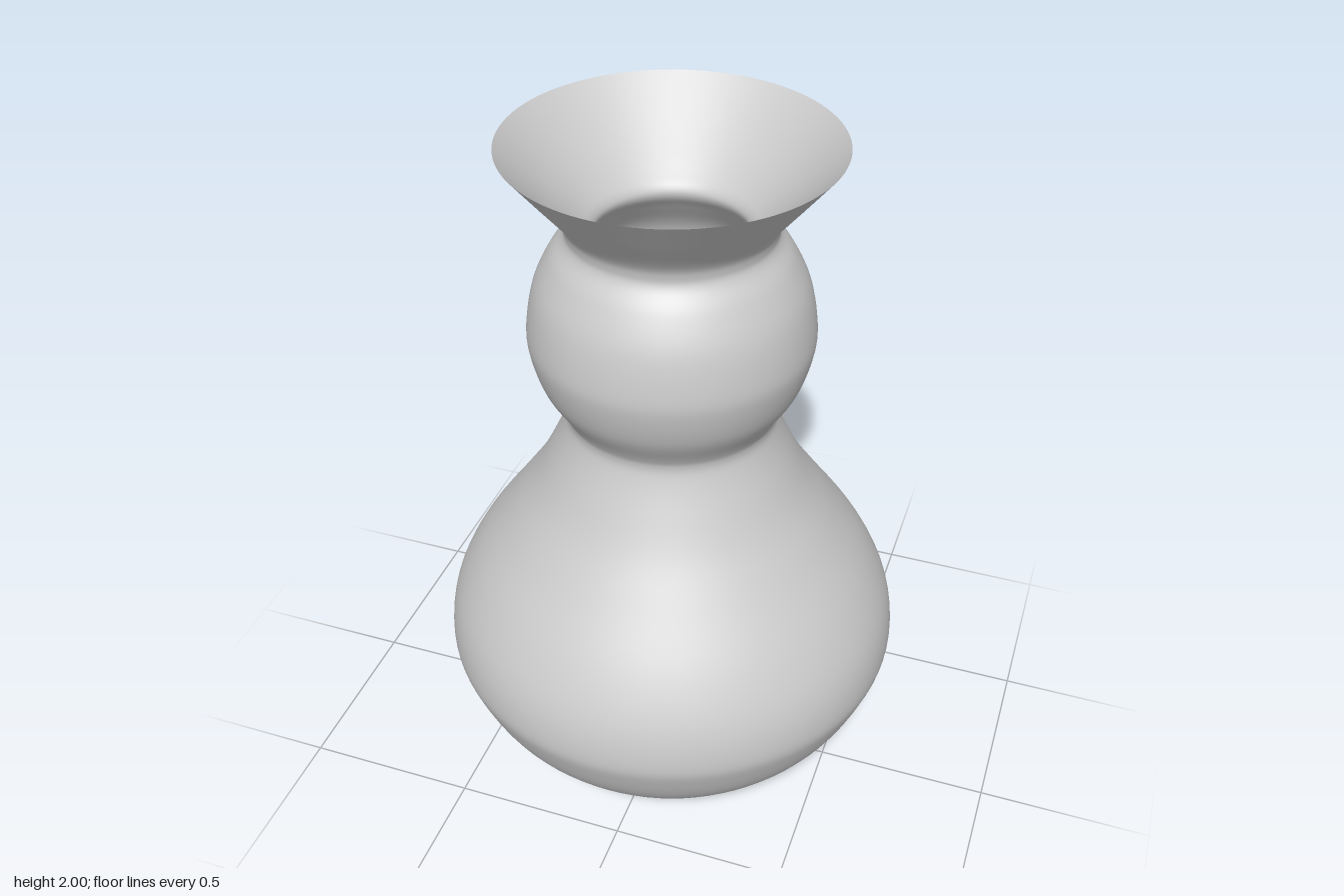
import * as THREE from 'three';

const SIDES = 96;
const material = new THREE.MeshStandardMaterial({ color: 0xcccccc });

const toPoints = (pairs) => pairs.map(([r, y]) => new THREE.Vector2(r, y));

// Smooth profile through a few radius/height pairs.
const smooth = (pairs, steps) => new THREE.SplineCurve(toPoints(pairs)).getPoints(steps);

// Turned part: a profile that rises faces outward, one that falls faces inward.
function turned(name, points) {
  const mesh = new THREE.Mesh(new THREE.LatheGeometry(points, SIDES), material);
  mesh.name = name;
  return mesh;
}

function disc(name, radius, y, up) {
  const mesh = new THREE.Mesh(new THREE.CircleGeometry(radius, SIDES), material);
  mesh.name = name;
  mesh.rotation.x = up ? -Math.PI / 2 : Math.PI / 2;
  mesh.position.y = y;
  return mesh;
}

export function createModel() {
  const vase = new THREE.Group();
  vase.name = 'vase';

  // Outer skin: wide belly, waist, round bulb, neck and flared mouth
  vase.add(turned('outerBody', smooth([
    [0.2, 0.048], [0.27, 0.055], [0.37, 0.09], [0.465, 0.148], [0.58, 0.28],
    [0.64, 0.405], [0.656, 0.485], [0.635, 0.6], [0.57, 0.73], [0.465, 0.88],
    [0.387, 0.995], [0.33, 1.106], [0.297, 1.185], [0.29, 1.225], [0.303, 1.26],
    [0.35, 1.34], [0.377, 1.43], [0.381, 1.5], [0.36, 1.61], [0.317, 1.7],
    [0.28, 1.75], [0.274, 1.78], [0.29, 1.82], [0.36, 1.907], [0.435, 2],
  ], 120)));

  // Inner skin from the thin lip down to the well in the foot
  vase.add(turned('innerWall', smooth([
    [0.435, 2], [0.33, 1.895], [0.24, 1.81], [0.205, 1.775], [0.202, 1.745],
    [0.235, 1.7], [0.295, 1.61], [0.316, 1.5], [0.31, 1.43], [0.285, 1.36],
    [0.24, 1.28], [0.226, 1.225], [0.235, 1.17], [0.27, 1.08], [0.33, 0.965],
    [0.41, 0.845], [0.515, 0.695], [0.572, 0.58], [0.591, 0.485], [0.575, 0.41],
    [0.52, 0.31], [0.42, 0.2], [0.33, 0.145], [0.25, 0.12], [0.2, 0.11],
    [0.165, 0.095], [0.145, 0.06],
  ], 120)));
  vase.add(disc('innerFloor', 0.145, 0.06, true));

  // Small foot with a softened lower edge
  vase.add(turned('footRing', toPoints([
    [0.188, 0], [0.193, 0.002], [0.198, 0.007], [0.2, 0.013], [0.2, 0.048],
  ])));
  vase.add(disc('footBase', 0.188, 0, false));

  return vase;
}
